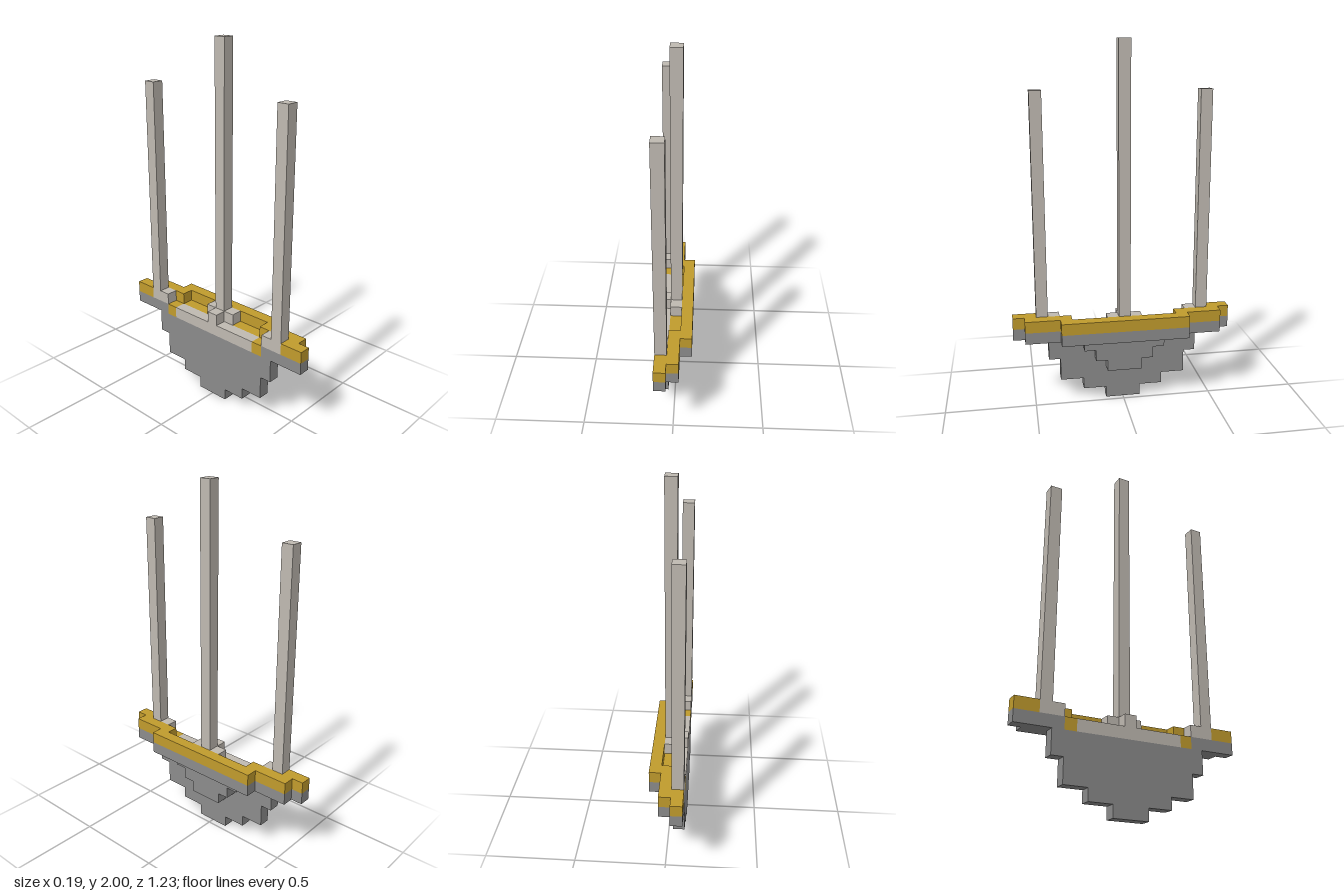
import * as THREE from 'three';

const U = 2 / 31; // edge of one block

export function createModel() {
  const mat = (name, color) => {
    const m = new THREE.MeshStandardMaterial({ color });
    m.name = name;
    return m;
  };
  const gold = mat('gold', 0xc09b2d);
  const pale = mat('pale wood', 0xbfb9b1);
  const grey = mat('hull grey', 0x8b8b8b);

  const model = new THREE.Group();
  model.name = 'blockShip';

  // Box in block units: columns x0..x1, layers y0..y1, slices z0..z1 (x and z centred)
  const box = (name, material, x0, x1, y0, y1, z0, z1) => {
    const mesh = new THREE.Mesh(
      new THREE.BoxGeometry((x1 - x0) * U, (y1 - y0) * U, (z1 - z0) * U), material);
    mesh.position.set((x0 + x1) / 2 * U, (y0 + y1) / 2 * U, (z0 + z1) / 2 * U);
    mesh.name = name;
    model.add(mesh);
  };
  // Box symmetric about z = 0
  const centred = (name, m, x0, x1, y0, y1, half) => box(name, m, x0, x1, y0, y1, -half, half);
  // Pair of boxes mirrored in z
  const pair = (name, m, x0, x1, y0, y1, z0, z1) => {
    box(name, m, x0, x1, y0, y1, z0, z1);
    box(name, m, x0, x1, y0, y1, -z1, -z0);
  };

  // Stepped hull: [bottom, top, half length]
  for (const [y0, y1, h] of [[0, 1, 1.5], [1, 2, 3.5], [2, 4, 5.5], [4, 6, 6.5]])
    centred('outerHull', grey, -1.5, -0.5, y0, y1, h);
  for (const [y0, y1, h] of [[3, 4, 1.5], [4, 5, 2.5], [5, 6, 3.5]])
    centred('innerHull', grey, -0.5, 0.5, y0, y1, h);

  // Grey band under the rail
  pair('hullBand', grey, -1.5, -0.5, 6, 7, 5.5, 9.5);
  pair('hullBand', grey, -0.5, 0.5, 6, 7, 4.5, 8.5);
  centred('hullBand', grey, 0.5, 1.5, 6, 7, 5.5);

  // Sunken deck
  centred('deckPlank', pale, -1.5, -0.5, 6, 7, 4.5);
  pair('deckEnd', gold, -1.5, -0.5, 6, 7, 4.5, 5.5);
  centred('deckFloor', gold, -0.5, 0.5, 6, 7, 4.5);

  // Gold rail
  pair('rail', gold, -1.5, -0.5, 7, 8, 7.5, 9.5);
  pair('rail', gold, -0.5, 0.5, 7, 8, 4.5, 8.5);
  centred('rail', gold, 0.5, 1.5, 7, 8, 5.5);

  // Masts and the blocks at their feet
  centred('mainMast', pale, -0.5, 0.5, 7, 31, 0.5);
  pair('endMast', pale, -1.5, -0.5, 7, 27, 6.5, 7.5);
  pair('mainMastFoot', pale, -0.5, 0.5, 7, 8, 0.5, 1.5);
  centred('mainMastFoot', pale, -1.5, -0.5, 7, 8, 0.5);
  pair('endMastFoot', pale, -1.5, -0.5, 7, 8, 5.5, 6.5);

  return model;
}
